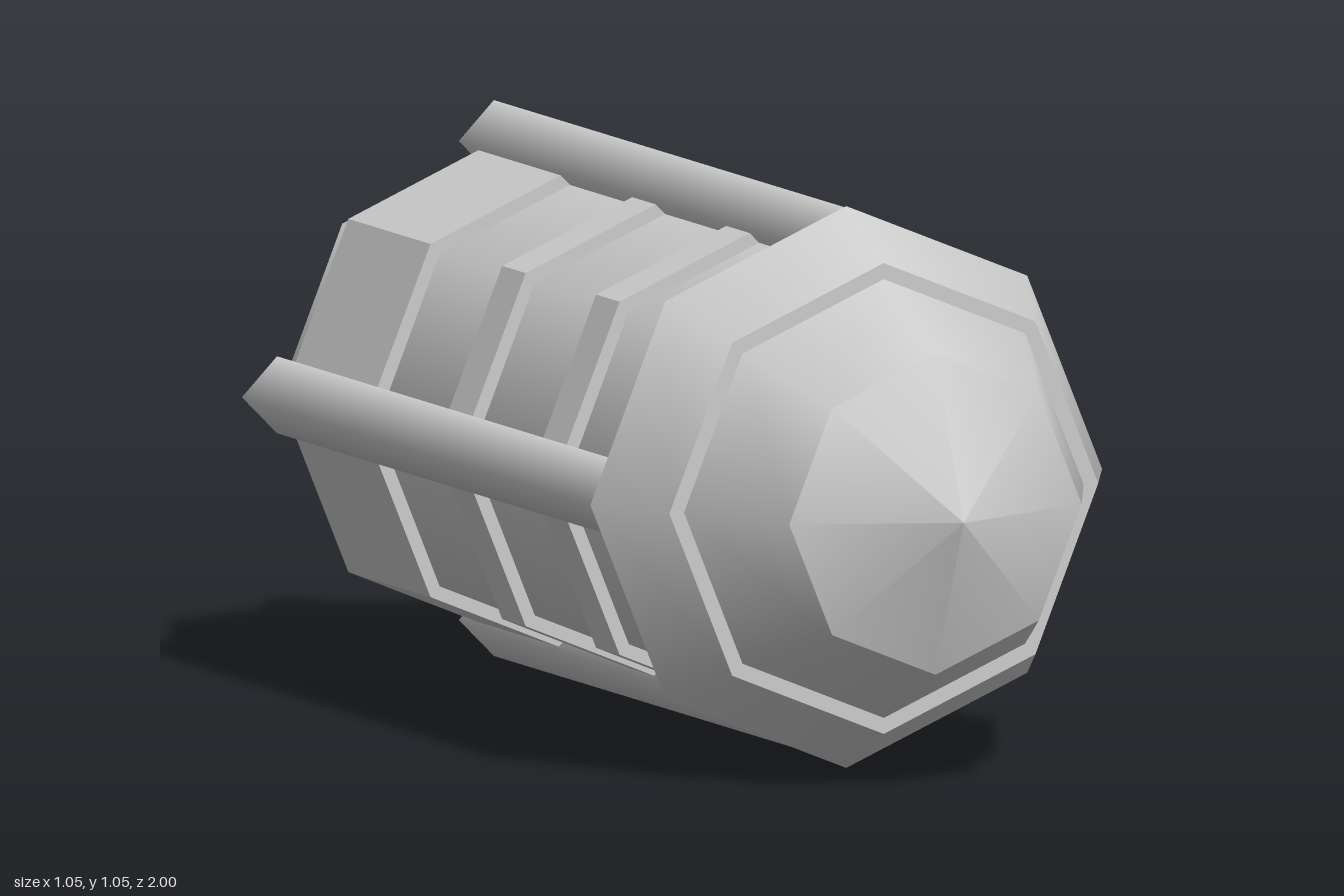
import * as THREE from 'three';

export function createModel() {
  const group = new THREE.Group();
  const mat = new THREE.MeshStandardMaterial({ color: 0xcccccc });
  const CY = 0.525; // height of the long axis

  function add(name, geo) {
    const mesh = new THREE.Mesh(geo, mat);
    mesh.name = name;
    mesh.position.y = CY;
    group.add(mesh);
    return mesh;
  }

  // Many-sided drum or cone along z, from zBack to zFront
  function drumGeometry(zBack, zFront, rBack, rFront, sides) {
    const geo = new THREE.CylinderGeometry(rFront, rBack, zFront - zBack, sides);
    geo.rotateX(Math.PI / 2);
    geo.translate(0, 0, (zBack + zFront) / 2);
    return geo;
  }

  // Body, collar and pointed nose, all eight-sided
  add('body', drumGeometry(-1, 0.5, 0.44, 0.44, 8));
  add('collar', drumGeometry(0.5, 0.66, 0.525, 0.44, 8));
  add('noseCone', drumGeometry(0.66, 0.88, 0.41, 0.3, 8));
  add('noseTip', drumGeometry(0.88, 1, 0.3, 0, 8));

  // Four diamond-section rails: left, top, right, bottom
  [0.43, 0.45, 0.445, 0.445].forEach((r, i) => {
    const rail = drumGeometry(-1, 0.49, 0.072, 0.072, 4);
    rail.translate(r, 0, 0);
    add('rail', rail).rotation.z = i * Math.PI / 2;
  });

  // Bent raised bands filling the quadrants between the rails
  const section = new THREE.Shape([
    [0.03, 0.4], [0.28, 0.28], [0.4, 0.03],
    [0.455, 0.03], [0.33, 0.33], [0.03, 0.455],
  ].map(([x, y]) => new THREE.Vector2(x, y)));

  for (const [z0, z1] of [[0.12, 0.22], [-0.28, -0.18], [-0.935, -0.585]]) {
    for (let i = 0; i < 4; i++) {
      const band = new THREE.ExtrudeGeometry(section, { depth: z1 - z0, bevelEnabled: false });
      band.translate(0, 0, z0);
      add('band', band).rotation.z = i * Math.PI / 2;
    }
  }

  return group;
}
